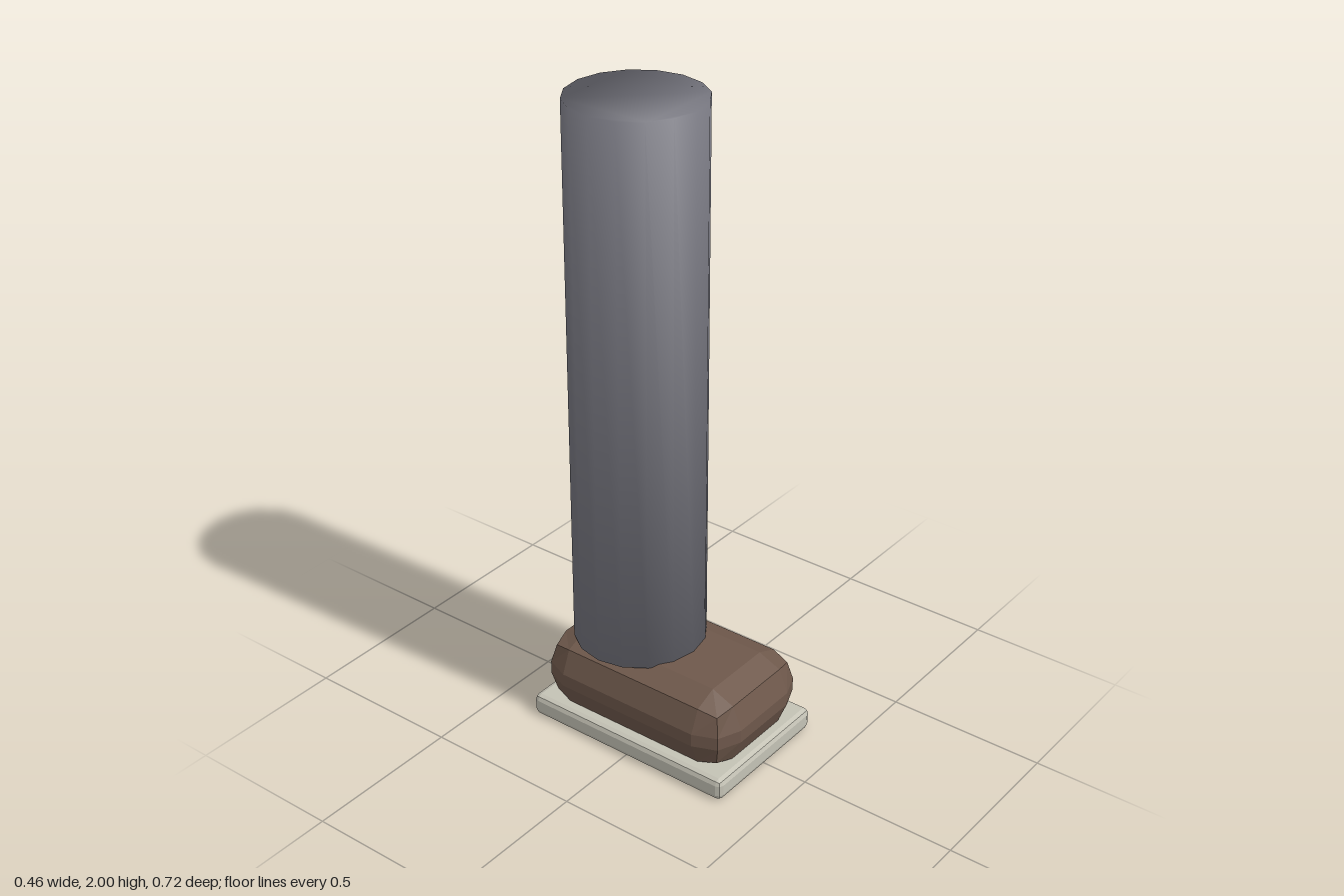
import * as THREE from 'three';
import { mergeVertices } from 'three/addons/utils/BufferGeometryUtils.js';
import { RoundedBoxGeometry } from 'three/addons/geometries/RoundedBoxGeometry.js';

const mat = (name, color) => {
  const m = new THREE.MeshStandardMaterial({ color });
  m.name = name;
  return m;
};

// Box with a two-facet bevel on every edge, flat shaded, spanning y0..y1
function bevelledBox(name, width, y0, y1, depth, bevel, material) {
  const geo = new RoundedBoxGeometry(width, y1 - y0, depth, 1, bevel);
  geo.computeVertexNormals();
  const mesh = new THREE.Mesh(geo, material);
  mesh.name = name;
  mesh.position.y = (y0 + y1) / 2;
  return mesh;
}

// Closed 16-sided column whose shading runs smoothly over the rims
function smoothColumn(radius, height, sides) {
  const points = [];
  for (let i = 0; i < sides; i++) {
    const a = (i / sides) * Math.PI * 2;
    points.push(new THREE.Vector2(Math.cos(a) * radius, Math.sin(a) * radius));
  }
  let geo = new THREE.ExtrudeGeometry(new THREE.Shape(points), { depth: height, bevelEnabled: false });
  geo.rotateX(-Math.PI / 2);
  geo.deleteAttribute('uv');
  geo.deleteAttribute('normal');
  geo = mergeVertices(geo);
  geo.computeVertexNormals();
  // Rim normals lean outward and away from the middle of the column
  const p = geo.attributes.position;
  const n = new THREE.Vector3();
  for (let i = 0; i < p.count; i++) {
    n.set(p.getX(i) / radius, p.getY(i) > height / 2 ? 0.6 : -0.6, p.getZ(i) / radius).normalize();
    geo.attributes.normal.setXYZ(i, n.x, n.y, n.z);
  }
  return geo;
}

export function createModel() {
  const model = new THREE.Group();
  model.name = 'legWithShoe';

  const greyCloth = mat('greyCloth', 0x777780);
  const brownLeather = mat('brownLeather', 0x6e584b);
  const paleSole = mat('paleSole', 0xc4c2b5);

  // Sole and shoe
  model.add(bevelledBox('sole', 0.464, 0, 0.07, 0.716, 0.018, paleSole));
  model.add(bevelledBox('shoe', 0.442, 0.042, 0.292, 0.696, 0.104, brownLeather));

  // Trouser leg, set over the heel
  const leg = new THREE.Mesh(smoothColumn(0.203, 1.715, 16), greyCloth);
  leg.name = 'trouserLeg';
  leg.position.set(0, 0.285, -0.118);
  model.add(leg);

  return model;
}
